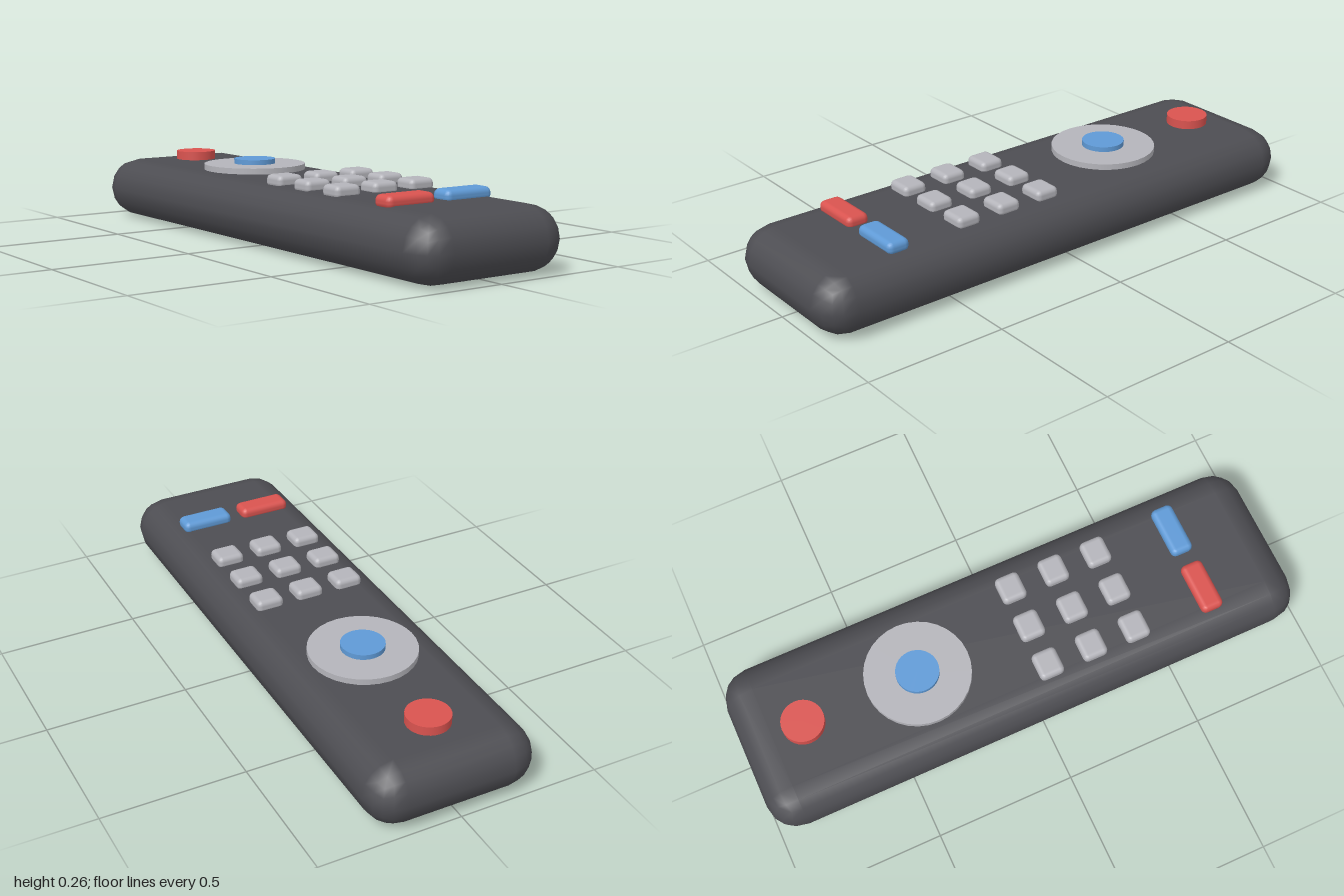
import * as THREE from 'three';
import { RoundedBoxGeometry } from 'three/addons/geometries/RoundedBoxGeometry.js';

function material(name, color) {
  const m = new THREE.MeshStandardMaterial({ color });
  m.name = name;
  return m;
}

export function createModel() {
  const group = new THREE.Group();
  group.name = 'remoteControl';

  const charcoal = material('charcoal', 0x4d4d52);
  const grey = material('light grey', 0xb4b4ba);
  const red = material('red', 0xd9534f);
  const blue = material('blue', 0x5f9ad6);

  const add = (name, geometry, mat, x, y, z) => {
    const mesh = new THREE.Mesh(geometry, mat);
    mesh.name = name;
    mesh.position.set(x, y, z);
    group.add(mesh);
  };

  // Round button from the case up to the given top height
  const disc = (name, radius, bottom, top, mat, z) =>
    add(name, new THREE.CylinderGeometry(radius, radius, top - bottom, 32), mat, 0, (bottom + top) / 2, z);

  // Case: sides fully rounded, a little oversized because the coarse rounding shrinks it
  add('case', new RoundedBoxGeometry(0.598, 0.22, 2.008, 2, 0.11), charcoal, 0, 0.106, 0);

  // Power button and navigation pad
  disc('powerButton', 0.075, 0.2, 0.248, red, -0.779);
  disc('navigationPad', 0.187, 0.2, 0.237, grey, -0.355);
  disc('selectButton', 0.076, 0.22, 0.255, blue, -0.355);

  // Keypad, three by three
  const key = new RoundedBoxGeometry(0.1, 0.046, 0.09, 2, 0.018);
  for (let row = 0; row < 3; row++) {
    for (let col = -1; col <= 1; col++) {
      add(`key${row * 3 + col + 2}`, key, grey, col * 0.154, 0.2255, 0.067 + row * 0.165);
    }
  }

  // Wide function buttons
  const bar = new RoundedBoxGeometry(0.189, 0.046, 0.082, 2, 0.02);
  add('redFunctionButton', bar, red, -0.118, 0.2255, 0.68);
  add('blueFunctionButton', bar, blue, 0.118, 0.2255, 0.68);

  return group;
}
